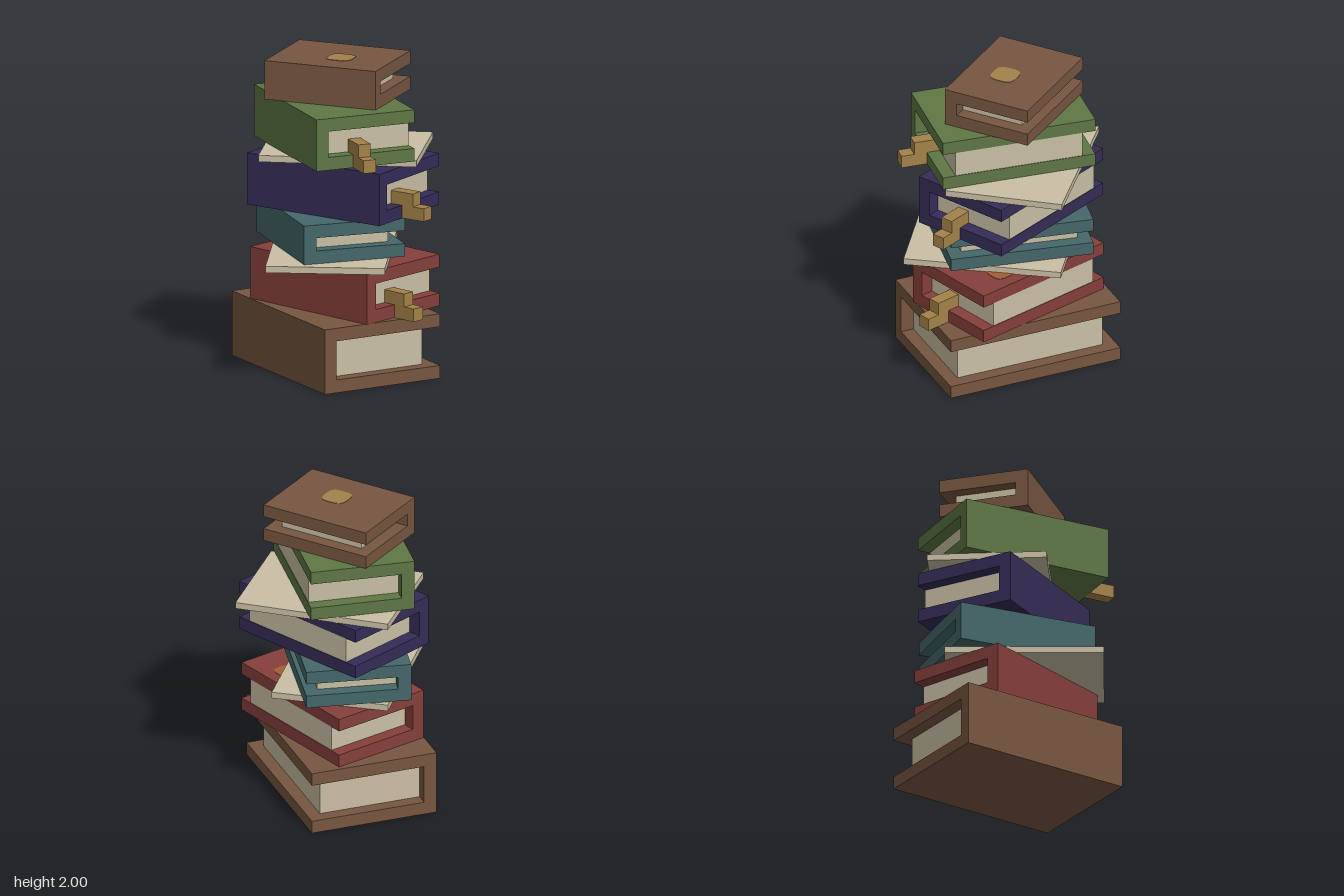
import * as THREE from 'three';

const U = 1 / 12; // one grid unit: book covers are one unit thick

export function createModel() {
  const model = new THREE.Group();
  model.name = 'bookStack';

  const mat = (name, color) => {
    const m = new THREE.MeshStandardMaterial({ color });
    m.name = name;
    return m;
  };
  const brown = mat('brown leather', 0x775640);
  const red = mat('red cloth', 0x853f3b);
  const teal = mat('teal cloth', 0x45676a);
  const navy = mat('navy cloth', 0x352c57);
  const green = mat('green cloth', 0x5e7745);
  const paper = mat('parchment', 0xcabfa5);
  const gold = mat('gold', 0xa48248);
  const orange = mat('copper', 0xa35f38);

  // Box given by its minimum and maximum corners
  const block = (parent, name, material, a, b) => {
    const size = b.map((v, i) => v - a[i]);
    const mesh = new THREE.Mesh(new THREE.BoxGeometry(...size), material);
    mesh.position.set(...a.map((v, i) => (v + b[i]) / 2));
    mesh.name = name;
    parent.add(mesh);
  };

  // Thin rounded square inlaid on a cover
  const emblem = (parent, material, x, y, z, half, r) => {
    const s = new THREE.Shape();
    s.moveTo(-half + r, -half);
    s.lineTo(half - r, -half);
    s.quadraticCurveTo(half, -half, half, -half + r);
    s.lineTo(half, half - r);
    s.quadraticCurveTo(half, half, half - r, half);
    s.lineTo(-half + r, half);
    s.quadraticCurveTo(-half, half, -half, half - r);
    s.lineTo(-half, -half + r);
    s.quadraticCurveTo(-half, -half, -half + r, -half);
    const geo = new THREE.ExtrudeGeometry(s, { depth: 0.003, bevelEnabled: false, curveSegments: 4 });
    geo.rotateX(-Math.PI / 2);
    const mesh = new THREE.Mesh(geo, material);
    mesh.position.set(x, y, z);
    mesh.name = 'emblem';
    parent.add(mesh);
  };

  const place = (name, x, y, z, degrees) => {
    const g = new THREE.Group();
    g.name = name;
    g.position.set(x, y, z);
    g.rotation.y = THREE.MathUtils.degToRad(degrees);
    model.add(g);
    return g;
  };

  // C-shaped cover with the spine on -x, pages inside and an optional ribbon
  const book = ({ name, material, w, h, d, x, y, z, turn, inset = U, ribbon = false }) => {
    const g = place(name, x, y * U, z, turn);
    const W = (w * U) / 2, H = h * U, D = (d * U) / 2;
    const profile = new THREE.Shape([
      [-W, 0], [W, 0], [W, U], [-W + U, U], [-W + U, H - U], [W, H - U], [W, H], [-W, H],
    ].map(([px, py]) => new THREE.Vector2(px, py)));
    const coverGeo = new THREE.ExtrudeGeometry(profile, { depth: 2 * D, bevelEnabled: false });
    coverGeo.translate(0, 0, -D);
    const cover = new THREE.Mesh(coverGeo, material);
    cover.name = 'cover';
    g.add(cover);
    block(g, 'pages', paper, [-W + U, U, -D + U], [W - inset, H - U, D - U]);
    if (ribbon) {
      block(g, 'ribbonTop', gold, [-U, U, D - U], [0, 2 * U, D + U]);
      block(g, 'ribbonEnd', gold, [-U, 0, D], [0, U, D + 2 * U]);
    }
    return g;
  };

  const sheet = (name, x, y, z, turn) => {
    const g = place(name, x, y * U, z, turn);
    block(g, 'page', paper, [-4.5 * U, 0, -6 * U], [4.5 * U, 0.5 * U, 6 * U]);
  };

  // Stack from bottom to top
  const flush = 0.004;
  book({ name: 'bottomBook', material: brown, w: 10, h: 5, d: 14, x: -0.032, y: 0, z: -0.022, turn: 0 });
  const redBook = book({ name: 'redBook', material: red, w: 8, h: 4, d: 12, x: 0.02, y: 5, z: 0, turn: 17, inset: flush, ribbon: true });
  emblem(redBook, orange, 0.185, 4 * U, 0.23, 0.07, 0.05);
  sheet('lowerSheet', -0.108, 9, 0.05, -34.4);
  book({ name: 'tealBook', material: teal, w: 8, h: 3, d: 11, x: -0.057, y: 9.5, z: -0.046, turn: -11 });
  book({ name: 'navyBook', material: navy, w: 8, h: 4, d: 12, x: 0.018, y: 12.5, z: -0.02, turn: 26, inset: flush, ribbon: true });
  sheet('upperSheet', 0.068, 16.5, -0.074, 52);
  book({ name: 'greenBook', material: green, w: 8, h: 4, d: 12, x: -0.057, y: 17, z: 0, turn: -7, inset: flush, ribbon: true });
  const topBook = book({ name: 'topBook', material: brown, w: 7, h: 3, d: 9, x: -0.005, y: 21, z: -0.05, turn: 38 });
  emblem(topBook, gold, -0.04, 3 * U, 0.04, U, 0.06);

  return model;
}
